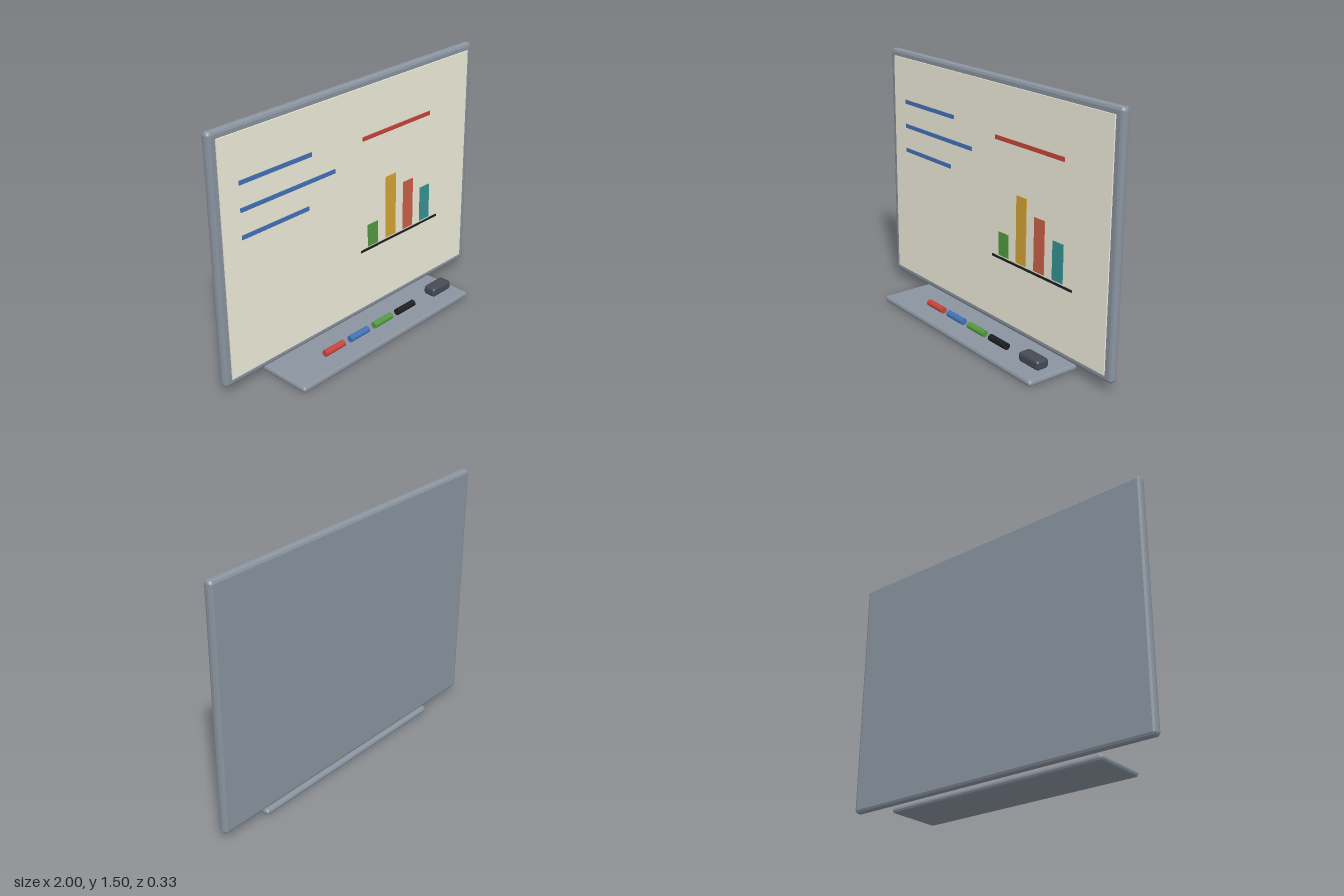
import * as THREE from 'three';
import { ConvexGeometry } from 'three/addons/geometries/ConvexGeometry.js';

const material = (color) => new THREE.MeshStandardMaterial({ color });
const FRAME = material(0x8a94a0), BOARD = material(0xf0eedc), BLACK = material(0x1c1e22);
const BLUE = material(0x4472b8), RED = material(0xc8443c), GREEN = material(0x559a40);
const YELLOW = material(0xd6a436), CORAL = material(0xcc6048), TEAL = material(0x379494);
const DARK = material(0x454a54);

// Box with every edge bevelled in two steps; min and max are opposite corners
function bevelBox(min, max, r) {
  const a = Math.SQRT1_2;
  const dirs = [[1, 0, 0], [0, 1, 0], [0, 0, 1], [a, a, 0], [a, 0, a], [0, a, a]];
  const half = max.map((v, i) => (v - min[i]) / 2);
  const points = [];
  for (const sx of [-1, 1]) for (const sy of [-1, 1]) for (const sz of [-1, 1]) {
    for (const d of dirs) {
      const p = [sx, sy, sz].map((s, i) => s * (half[i] - r + r * d[i]));
      points.push(new THREE.Vector3(...p));
    }
  }
  const g = new ConvexGeometry(points);
  g.translate(...max.map((v, i) => (v + min[i]) / 2));
  return g;
}

function plainBox(min, max) {
  const g = new THREE.BoxGeometry(...max.map((v, i) => v - min[i]));
  g.translate(...max.map((v, i) => (v + min[i]) / 2));
  return g;
}

export function createModel() {
  const model = new THREE.Group();
  model.name = 'whiteboard';
  const add = (name, geometry, mat) => {
    const mesh = new THREE.Mesh(geometry, mat);
    mesh.name = name;
    model.add(mesh);
    return mesh;
  };

  // Frame, writing surface and tray
  add('frame', bevelBox([-1, 0.055, -0.167], [1, 1.503, -0.115], 0.018), FRAME);
  add('writingSurface', plainBox([-0.955, 0.095, -0.13], [0.955, 1.463, -0.108]), BOARD);
  add('tray', bevelBox([-0.697, 0, -0.167], [0.697, 0.036, 0.167], 0.014), FRAME);

  // Drawn marks lie just proud of the writing surface
  const mark = (name, x0, x1, y0, y1, mat) =>
    add(name, plainBox([x0, y0, -0.11], [x1, y1, -0.103]), mat);
  [[-0.34, 1.198], [-0.168, 1.048], [-0.37, 0.896]].forEach(([x1, y], i) =>
    mark(`noteLine${i + 1}`, -0.835, x1, y - 0.012, y + 0.012, BLUE));
  mark('headingLine', 0.048, 0.615, 1.154, 1.178, RED);
  mark('chartBaseline', 0.03, 0.697, 0.467, 0.48, BLACK);
  [[0.628, GREEN], [0.88, YELLOW], [0.797, CORAL], [0.71, TEAL]].forEach(([top, mat], i) => {
    const x = 0.088 + i * 0.151;
    mark(`chartBar${i + 1}`, x, x + 0.083, 0.49, top, mat);
  });

  // Marker pens and eraser on the tray
  const pen = new THREE.CylinderGeometry(0.02, 0.02, 0.15, 12);
  pen.rotateZ(Math.PI / 2);
  [RED, BLUE, GREEN, BLACK].forEach((mat, i) =>
    add(`markerPen${i + 1}`, pen, mat).position.set(-0.335 + i * 0.2, 0.056, 0.03));
  add('eraser', bevelBox([0.485, 0.043, -0.008], [0.645, 0.098, 0.072], 0.013), DARK);

  return model;
}
